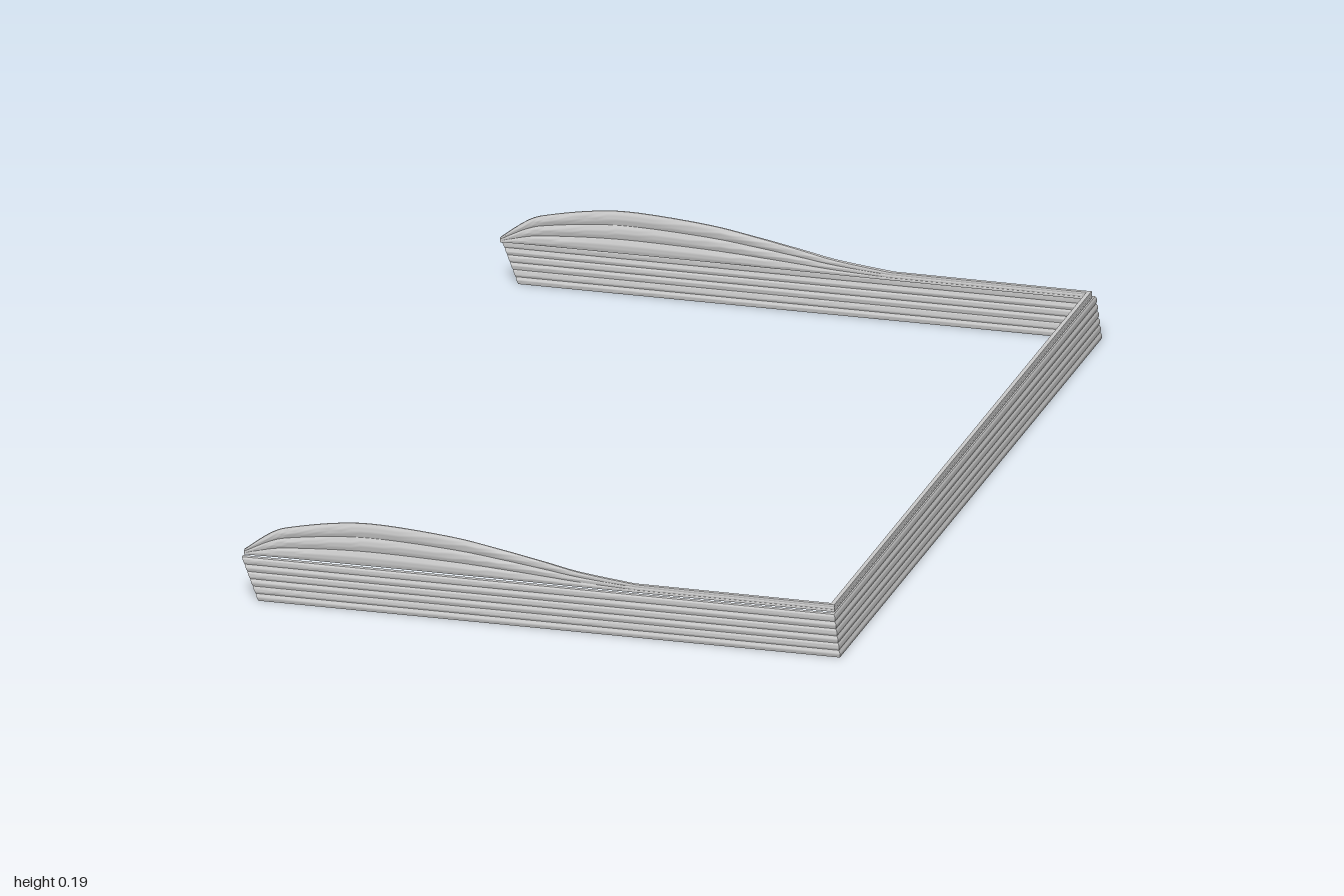
import * as THREE from 'three';
import { toCreasedNormals } from 'three/addons/utils/BufferGeometryUtils.js';

const RIM = 0.094;   // height where the six straight courses end
const LOWER = 6, UPPER = 3, STEPS = 6;

// Top edge of the arm: a swelling crest that runs out into a flat rim
const crest = new THREE.SplineCurve([
  [-0.65, 0.104], [-0.59, 0.148], [-0.54, 0.165], [-0.44, 0.183], [-0.35, 0.187], [-0.2, 0.176],
  [-0.1, 0.16], [0, 0.141], [0.08, 0.125], [0.2, 0.111],
].map(([x, y]) => new THREE.Vector2(x, y))).getPoints(36);

// Stations along one arm, from the free end (u = 0) to the corner (u = 1)
const arm = crest.map((p) => ({ u: Math.max(0, (p.x + 0.65) / 1.277), top: p.y }));
arm.push({ u: 1, top: 0.11 });
// Whole U: left arm, crossbar, right arm
const stations = [
  ...arm.map((s) => ({ ...s, side: 1 })),
  ...arm.map((s) => ({ ...s, side: -1 })).reverse(),
];

// One rounded course swept along the U with mitred corners
function courseGeometry(i) {
  const upper = i >= LOWER;
  const width = upper ? 0.0105 : 0.015;

  const rings = stations.map(({ u, top, side }) => {
    const level = (k) => (k <= LOWER ? (RIM * k) / LOWER : RIM + ((top - RIM) * (k - LOWER)) / UPPER);
    const y0 = level(i), h = level(i + 1) - y0;
    const bulge = Math.min(0.0035, 0.15 * h);
    const outer = [], inner = [];
    for (let k = 0; k <= STEPS; k++) {
      const t = k / STEPS, y = y0 + h * t;
      const notch = bulge * (1 - Math.sin(Math.PI * t));
      // The crossbar leans back, the arms stand upright
      const insetX = upper ? 0.018 : (0.013 * y) / RIM;
      const insetZ = upper ? 0.0165 : 0;
      const place = (d) => [
        THREE.MathUtils.lerp(-0.615 - 0.38 * Math.min(y, RIM), 0.645 - insetX - d, u),
        y, side * (1 - insetZ - d),
      ];
      outer.push(place(notch));
      inner.push(place(width - notch));
    }
    return [...outer, ...inner.reverse()];
  });

  const n = 2 * (STEPS + 1), index = [];
  const quad = (a, b, c, d) => index.push(a, b, c, a, c, d);
  for (let r = 0; r < rings.length - 1; r++) {
    for (let j = 0; j < n; j++) {
      const k = (j + 1) % n;
      quad(r * n + j, (r + 1) * n + j, (r + 1) * n + k, r * n + k);
    }
  }
  // Free ends
  const last = (rings.length - 1) * n;
  for (let j = 0; j < STEPS; j++) {
    quad(n - 1 - j, j, j + 1, n - 2 - j);
    quad(last + j, last + n - 1 - j, last + n - 2 - j, last + j + 1);
  }
  const g = new THREE.BufferGeometry();
  g.setAttribute('position', new THREE.Float32BufferAttribute(rings.flat(2), 3));
  g.setIndex(index);
  return toCreasedNormals(g, 0.5);
}

export function createModel() {
  const model = new THREE.Group();
  model.name = 'ribbedSurround';
  const grey = new THREE.MeshStandardMaterial({ color: 0xcccccc });
  grey.name = 'light grey';

  const wall = new THREE.Group();
  wall.name = 'wall';
  const rim = new THREE.Group();
  rim.name = 'crestedRim';
  model.add(wall, rim);

  for (let i = 0; i < LOWER + UPPER; i++) {
    const mesh = new THREE.Mesh(courseGeometry(i), grey);
    mesh.name = i < LOWER ? `wallCourse${i + 1}` : `crestCourse${i - LOWER + 1}`;
    (i < LOWER ? wall : rim).add(mesh);
  }
  return model;
}
